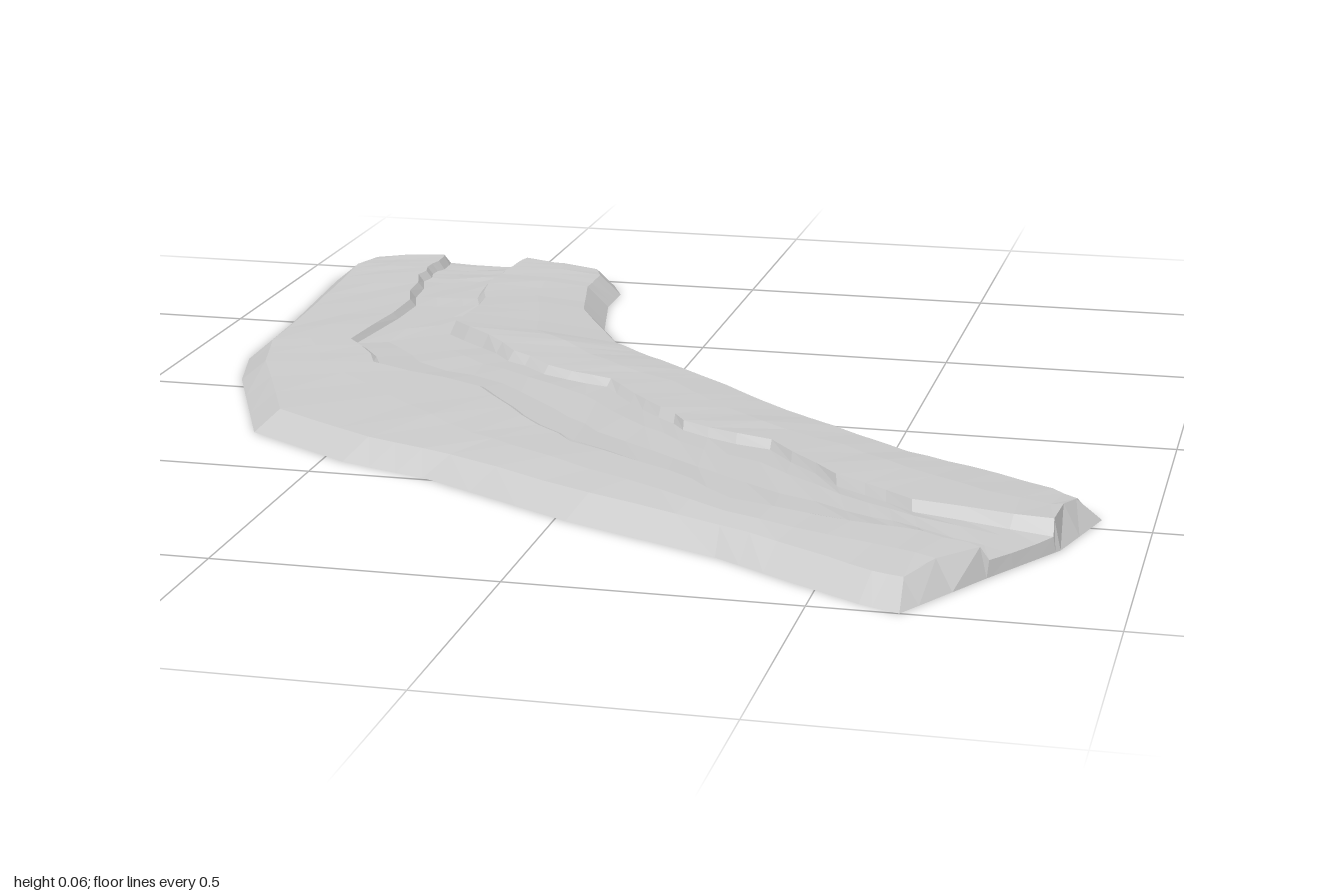
import * as THREE from 'three';

// Stations along the bend, each [x, z] pairs: outer edge, channel lip, channel lip, inner edge
const STATIONS = [
  [-0.88, -0.98, -0.69, -0.975, -0.50, -0.98, -0.30, -0.96],
  [-0.91, -0.87, -0.69, -0.87, -0.51, -0.88, -0.27, -0.89],
  [-0.90, -0.74, -0.69, -0.77, -0.52, -0.77, -0.27, -0.78],
  [-0.88, -0.48, -0.64, -0.55, -0.49, -0.60, -0.23, -0.59],
  [-0.87, -0.20, -0.66, -0.22, -0.485, -0.37, -0.10, -0.34],
  [-0.83, -0.05, -0.56, -0.06, -0.35, -0.24, -0.01, -0.265],
  [-0.68, 0.29, -0.31, 0.06, -0.22, -0.11, 0.085, -0.185],
  [-0.46, 0.43, -0.18, 0.23, -0.08, -0.05, 0.18, -0.10],
  [-0.29, 0.49, -0.05, 0.37, 0.02, 0.08, 0.27, -0.01],
  [0.02, 0.67, 0.16, 0.50, 0.12, 0.20, 0.43, 0.125],
  [0.31, 0.80, 0.30, 0.635, 0.30, 0.28, 0.59, 0.26],
  [0.45, 0.89, 0.52, 0.71, 0.45, 0.46, 0.70, 0.30],
  [0.58, 0.97, 0.64, 0.73, 0.60, 0.57, 0.86, 0.40],
  [0.65, 1.00, 0.76, 0.80, 0.86, 0.63, 0.91, 0.45],
];
// Height of the step down to the channel on each side, per station
const STEP_A = [0.022, 0.018, 0.016, 0.014, 0.012, 0.006, 0.005, 0.006, 0.003, 0.006, 0.006, 0.004, 0.008, 0.024];
const STEP_B = [0.022, 0.018, 0.016, 0.014, 0.018, 0.016, 0.014, 0.014, 0.016, 0.014, 0.014, 0.016, 0.018, 0.024];
const SUB = 3;

// Seeded noise in -1..1
let seed = 7;
function noise() {
  seed = (seed * 16807) % 2147483647;
  return (seed / 2147483647) * 2 - 1;
}

const lerp = THREE.MathUtils.lerp;

// One cross-section of the slab, from the outer foot to the inner foot
function section(t) {
  const i = Math.min(Math.floor(t), STATIONS.length - 2);
  const f = t - i;
  const s = STATIONS[i].map((v, k) => lerp(v, STATIONS[i + 1][k], f));
  const inner = f > 0.01 && f < 0.99;
  if (inner) for (let k = 2; k < 6; k++) s[k] += noise() * 0.008;
  const [a, la, lb, b] = [0, 2, 4, 6].map((k) => new THREE.Vector2(s[k], s[k + 1]));
  const stepA = lerp(STEP_A[i], STEP_A[i + 1], f);
  const stepB = lerp(STEP_B[i], STEP_B[i + 1], f);
  const along = (p, q, d) => p.clone().addScaledVector(q.clone().sub(p).normalize(), d);
  const at = (p, y, rough = 0) => new THREE.Vector3(p.x, y + noise() * rough, p.y);
  const hump = 0.009 * Math.exp(-((t - 4.3) ** 2)); // swollen bank at the bend
  const floor = (k) => 0.051 - k;
  return [
    at(a, 0),
    at(along(a, la, 0.05), 0.041, 0.001),
    at(a.clone().lerp(la, 0.6), 0.049, 0.002),
    at(la, 0.051, 0.001),
    at(along(la, lb, 0.012), floor(stepA), 0.001),
    at(la.clone().lerp(lb, 0.35), floor((stepA + stepB) * 0.55), 0.002),
    at(la.clone().lerp(lb, 0.7), floor((stepA + stepB) * 0.55), 0.002),
    at(along(lb, la, 0.014), floor(stepB), 0.001),
    at(lb, 0.052 + hump, 0.001),
    at(lb.clone().lerp(b, 0.45), 0.050 + hump * 0.6, 0.002),
    at(along(b, lb, 0.045), 0.042, 0.001),
    at(b, 0),
  ];
}

// Pull the top of an end section inward and return its foot on the ground
function slopeEnd(row, dx, dz) {
  const foot = row.map((p) => new THREE.Vector3(p.x, 0, p.z));
  row.forEach((p, j) => {
    if (j === 0 || j === row.length - 1) return;
    const inset = j > 3 && j < 8 ? 0.005 : j === 3 || j === 8 ? 0.015 : 0.035;
    p.x += dx * inset;
    p.z += dz * inset;
  });
  return foot;
}

export function createModel() {
  const rows = [];
  const last = (STATIONS.length - 1) * SUB;
  for (let i = 0; i <= last; i++) rows.push(section(i / SUB));
  rows.unshift(slopeEnd(rows[0], 0, 1));
  rows.push(slopeEnd(rows[rows.length - 1], -0.87, -0.5));

  // Skin the cross-sections, open underneath
  const n = rows[0].length;
  const index = [];
  for (let i = 0; i < rows.length - 1; i++) {
    for (let j = 0; j < n - 1; j++) {
      const p = i * n + j;
      const q = p + n;
      index.push(p, q, p + 1, q, q + 1, p + 1);
    }
  }
  const geometry = new THREE.BufferGeometry().setFromPoints(rows.flat());
  geometry.setIndex(index);
  geometry.computeVertexNormals();

  const material = new THREE.MeshStandardMaterial({
    color: 0xcccccc, flatShading: true, side: THREE.DoubleSide,
  });
  const path = new THREE.Mesh(geometry, material);
  path.name = 'bentChannelWithBanks';

  const group = new THREE.Group();
  group.name = 'channelBend';
  group.add(path);
  return group;
}
